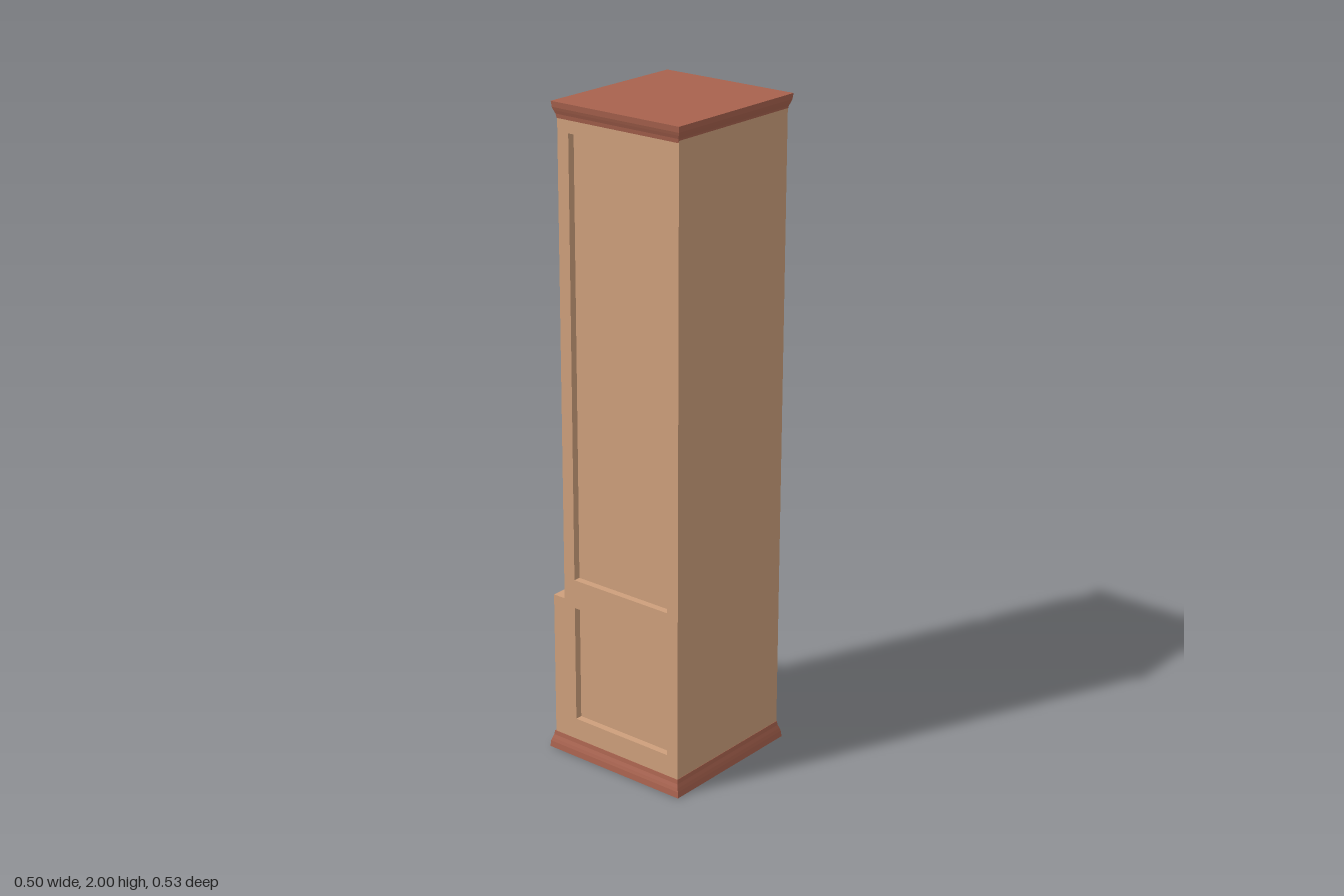
import * as THREE from 'three';

const mat = (name, color) => {
  const m = new THREE.MeshStandardMaterial({ color });
  m.name = name;
  return m;
};

export function createModel() {
  const tan = mat('bare wood', 0xcd9f7b);
  const red = mat('red wood', 0xa8624e);
  const glass = mat('blue glass', 0x4f6e9b);
  const bar = mat('glazing bar wood', 0xc08a48);
  const edged = [tan, red, red, red, red, red]; // unpainted +x face

  const root = new THREE.Group();
  root.name = 'cabinet';

  const add = (parent, name, geo, material) => {
    const m = new THREE.Mesh(geo, material);
    m.name = name;
    parent.add(m);
    return m;
  };
  const box = (parent, name, [x0, x1], [y0, y1], [z0, z1], material) => {
    const m = add(parent, name, new THREE.BoxGeometry(x1 - x0, y1 - y0, z1 - z0), material);
    m.position.set((x0 + x1) / 2, (y0 + y1) / 2, (z0 + z1) / 2);
    return m;
  };
  const group = (name) => {
    const g = new THREE.Group();
    g.name = name;
    root.add(g);
    return g;
  };

  // Stepped side outline (z, y), extruded across the width
  const W = 0.237, ZF = 0.255, ZU = -0.177, ZL = -0.219, STEP = 0.505;
  const outline = () => new THREE.Shape([
    [ZF, 0.03], [ZF, 1.97], [ZU, 1.97], [ZU, STEP], [ZL, STEP], [ZL, 0.03],
  ].map(([z, y]) => new THREE.Vector2(-z, y)));
  const slab = (name, shape, x0, x1) => {
    const geo = new THREE.ExtrudeGeometry(shape, { depth: x1 - x0, bevelEnabled: false });
    geo.rotateY(Math.PI / 2).translate(x0, 0, 0);
    add(root, name, geo, tan);
  };
  slab('carcass', outline(), -W + 0.022, W);

  // Side frame with two recessed panels
  const frame = outline();
  for (const [y0, y1] of [[0.12, 0.485], [0.575, 1.915]]) {
    frame.holes.push(new THREE.Path([
      [-0.215, y0], [0.137, y0], [0.137, y1], [-0.215, y1],
    ].map(([x, y]) => new THREE.Vector2(x, y))));
  }
  slab('sideFrame', frame, -W, -W + 0.022);

  // Rectangular moulding: rings of [y, outward offset], bottom to top
  const moulding = (name, z0, z1, rings) => {
    const pos = [], idx = [];
    rings.forEach(([y, o]) => {
      const x = W + o;
      pos.push(-x, y, z0 - o, x, y, z0 - o, x, y, z1 + o, -x, y, z1 + o);
    });
    for (let r = 0; r < rings.length - 1; r++) {
      for (let i = 0; i < 4; i++) {
        const a = r * 4 + i, b = r * 4 + (i + 1) % 4;
        idx.push(b, a, a + 4, b, a + 4, b + 4);
      }
    }
    const t = (rings.length - 1) * 4;
    idx.push(0, 1, 2, 0, 2, 3, t + 3, t + 2, t + 1, t + 3, t + 1, t);
    let geo = new THREE.BufferGeometry();
    geo.setAttribute('position', new THREE.Float32BufferAttribute(pos, 3));
    geo.setIndex(idx);
    geo = geo.toNonIndexed();
    geo.computeVertexNormals();
    add(root, name, geo, red);
  };
  const curve = [[0, 0.001], [0.012, 0.003], [0.022, 0.007], [0.031, 0.01], [0.048, 0.012]];
  moulding('cornice', ZU, ZF - 0.002, curve.map(([y, o]) => [1.952 + y, o]));
  moulding('plinth', ZL - 0.003, ZF, curve.map(([y, o]) => [(0.048 - y) * 1.1, o]).reverse());

  // Framed door: two stiles, two rails and an inset panel
  const door = (g, [x0, x1], [y0, y1], [z0, z1], sx0, sx1, rail, stileMat, panelMat) => {
    box(g, 'stile', [x0, x0 + sx0], [y0, y1], [z0, z1], stileMat);
    box(g, 'stile', [x1 - sx1, x1], [y0, y1], [z0, z1], stileMat);
    for (const y of [y0, y1 - rail]) {
      box(g, 'rail', [x0 + sx0, x1 - sx1], [y, y + rail], [z0, z1], red);
    }
    box(g, 'panel', [x0 + sx0, x1 - sx1], [y0 + rail, y1 - rail], [z1 - 0.006, z1], panelMat);
  };
  const knob = (g, x, y, z) =>
    add(g, 'knob', new THREE.SphereGeometry(0.016, 20, 14), tan).position.set(x, y, z);

  // Upper door
  const top = group('upperDoor');
  door(top, [-0.195, 0.195], [1.53, 1.91], [-0.204, ZU], 0.048, 0.048, 0.05, edged, red);
  knob(top, -0.165, 1.715, -0.217);

  // Glazed door with bars
  const mid = group('glazedDoor');
  const my = [0.55, 1.482];
  door(mid, [-0.195, 0.195], my, [-0.203, ZU], 0.065, 0.065, 0.065, red, glass);
  box(mid, 'bareEdge', [0.1945, 0.1955], [my[0], 1.0], [-0.2025, ZU], tan);
  box(mid, 'uprightBar', [-0.01, 0.01], [0.615, 1.417], [-0.197, ZU], bar);
  for (let i = 1; i < 4; i++) {
    const y = 0.615 + i * 0.802 / 4;
    box(mid, 'crossBar', [-0.13, 0.13], [y - 0.01, y + 0.01], [-0.196, ZU], bar);
  }
  knob(mid, -0.165, 0.96, -0.217);

  // Pair of lower doors, mirrored, meeting at a shallow V groove
  const low = group('lowerDoors');
  const ly = [0.09, 0.472], lz = [-0.239, ZL];
  for (const s of [-1, 1]) {
    const xs = s > 0 ? [0.014, 0.2] : [-0.2, -0.014];
    const inner = 0.028, outer = 0.032;
    door(low, xs, ly, lz, s > 0 ? inner : outer, s > 0 ? outer : inner, 0.035, red, red);
    knob(low, s * 0.032, 0.26, -0.252);
  }
  const groove = new THREE.Shape([
    [-0.014, -lz[1]], [0.014, -lz[1]], [0.014, -lz[0]], [0, 0.231], [-0.014, -lz[0]],
  ].map(([x, y]) => new THREE.Vector2(x, y)));
  const gGeo = new THREE.ExtrudeGeometry(groove, { depth: ly[1] - ly[0], bevelEnabled: false });
  gGeo.rotateX(-Math.PI / 2).translate(0, ly[0], 0);
  add(low, 'meetingGroove', gGeo, red);

  return root;
}
